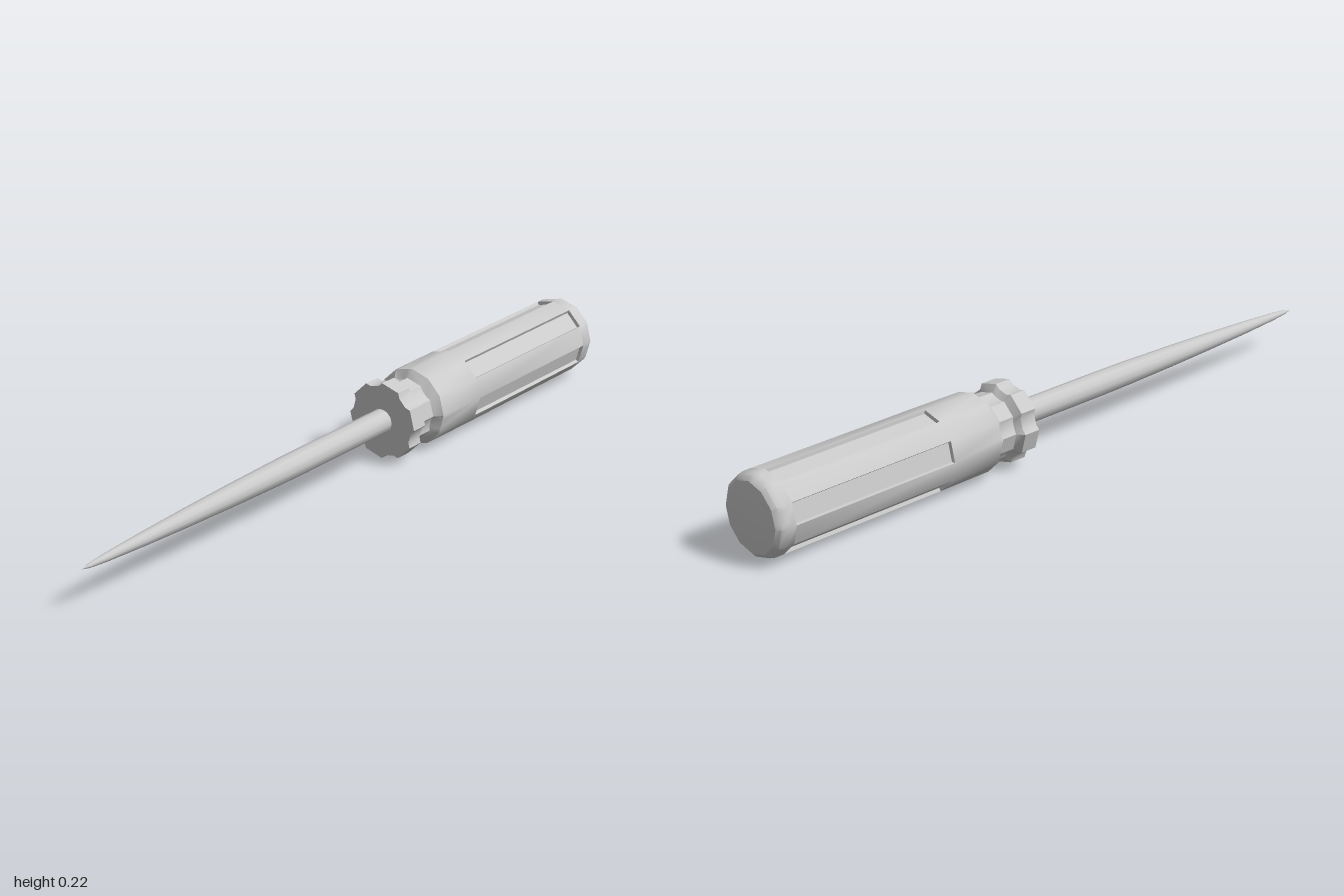
import * as THREE from 'three';
import { toCreasedNormals } from 'three/addons/utils/BufferGeometryUtils.js';

const AXIS_Y = 0.111; // height of the tool's centre line
const SIDES = 12;

// Twelve-sided ring; every other side is hollowed by depth between fractions t and 1 - t.
function ring([z, r, depth = 0, t = 0.25]) {
  const points = [];
  const corner = (k) => {
    const a = (k / SIDES) * Math.PI * 2;
    return new THREE.Vector3(Math.cos(a) * r, Math.sin(a) * r, z);
  };
  for (let k = 0; k < SIDES; k++) {
    const a = corner(k), b = corner(k + 1);
    points.push(a);
    if (k % 2 === 0) continue;
    const mid = ((k + 0.5) / SIDES) * Math.PI * 2;
    const inset = new THREE.Vector3(-Math.cos(mid) * depth, -Math.sin(mid) * depth, 0);
    points.push(a.clone().lerp(b, t).add(inset), a.clone().lerp(b, 1 - t).add(inset));
  }
  return points;
}

// Skin rings running from front to back; zero-radius end rings close the shape.
function skin(sections, creaseAngle) {
  const rings = sections.map(ring);
  const positions = [];
  const triangle = (...corners) => corners.forEach((p) => positions.push(p.x, p.y, p.z));
  for (let i = 0; i < rings.length - 1; i++) {
    const n = rings[i].length;
    for (let j = 0; j < n; j++) {
      const a = rings[i][j], b = rings[i][(j + 1) % n];
      const c = rings[i + 1][(j + 1) % n], d = rings[i + 1][j];
      if (sections[i + 1][1] > 0) triangle(a, d, c);
      if (sections[i][1] > 0) triangle(a, c, b);
    }
  }
  const geometry = new THREE.BufferGeometry();
  geometry.setAttribute('position', new THREE.Float32BufferAttribute(positions, 3));
  return toCreasedNormals(geometry, creaseAngle);
}

export function createModel() {
  const group = new THREE.Group();
  group.name = 'awl';
  const material = new THREE.MeshStandardMaterial({ color: 0xcccccc });

  // Handle: scalloped collar, narrow neck, grip with six shallow grooves, rounded butt
  const handle = new THREE.Mesh(skin([
    [-0.137, 0, 0],
    [-0.137, 0.11, 0.008],
    [-0.186, 0.11, 0.008],
    [-0.2, 0.09, 0.004],
    [-0.248, 0.09, 0.004],
    [-0.268, 0.11, 0],
    [-0.433, 0.111, 0, 0.06],
    [-0.435, 0.111, 0.009, 0.06],
    [-0.94, 0.111, 0.009, 0.06],
    [-0.942, 0.111, 0, 0.06],
    [-0.968, 0.111],
    [-0.984, 0.107],
    [-0.994, 0.096],
    [-0.998, 0.06],
    [-1, 0],
  ], 0.6), material);
  handle.name = 'handle';
  handle.position.y = AXIS_Y;
  group.add(handle);

  // Shaft: straight rod easing into a long tapered point
  const profile = [
    [0, 1], [0.006, 0.975], [0.011, 0.92], [0.018, 0.79], [0.024, 0.64],
    [0.029, 0.48], [0.033, 0.3], [0.034, 0.2], [0.034, -0.15],
  ].reverse().map(([r, z]) => new THREE.Vector2(r, z));
  const shaft = new THREE.Mesh(new THREE.LatheGeometry(profile, SIDES), material);
  shaft.name = 'shaft';
  shaft.rotation.x = Math.PI / 2;
  shaft.position.y = AXIS_Y;
  group.add(shaft);

  return group;
}
